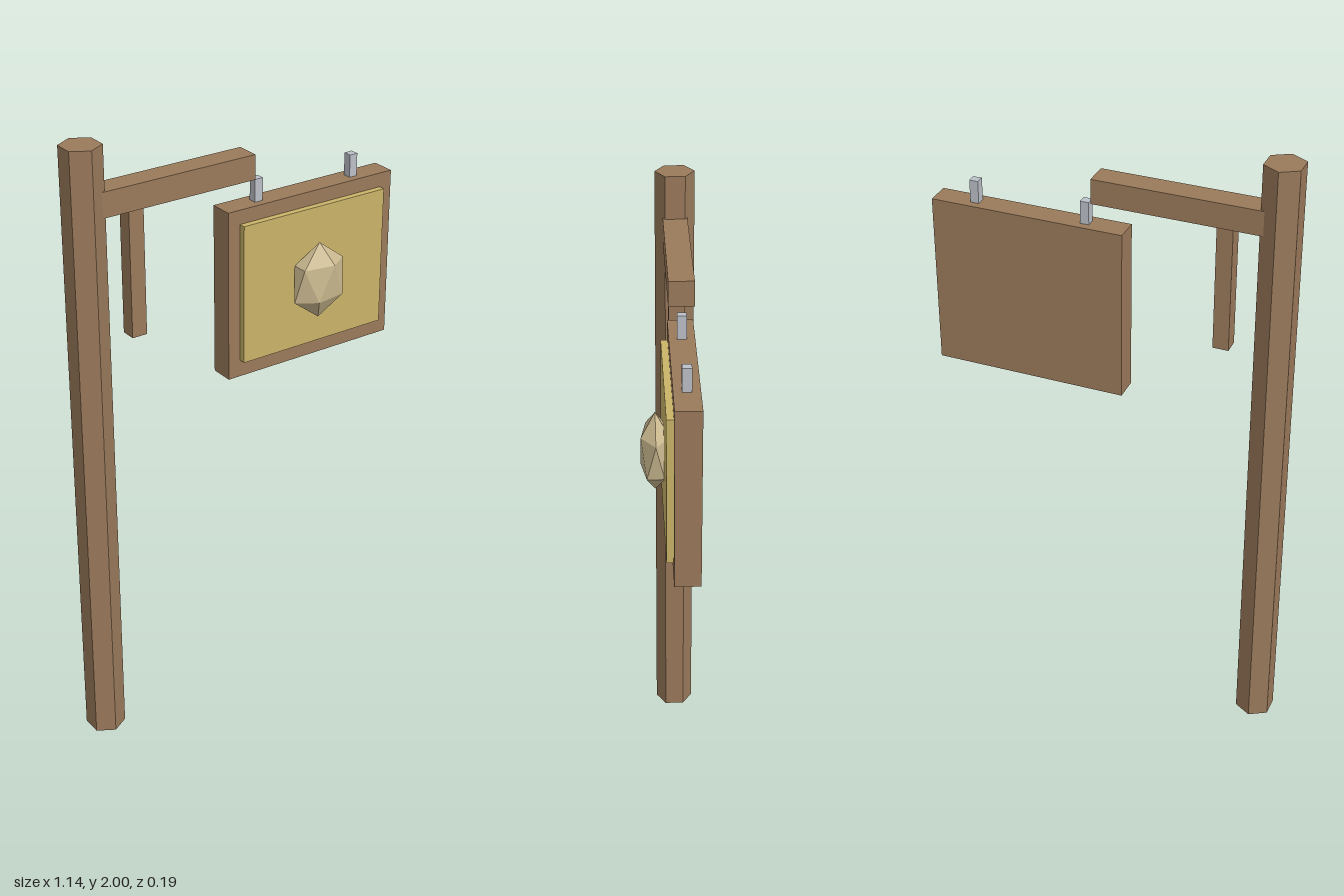
import * as THREE from 'three';

function material(name, color) {
  const m = new THREE.MeshStandardMaterial({ color, flatShading: true });
  m.name = name;
  return m;
}

export function createModel() {
  const wood = material('brown wood', 0x9a7a5b);
  const yellow = material('yellow panel', 0xcab469);
  const metal = material('grey metal', 0xbcc0c8);
  const stone = material('pale tan', 0xcbb990);

  const group = new THREE.Group();
  group.name = 'hangingSign';
  const zMid = -0.032; // centre plane of post, beam and board

  function add(name, geometry, mat, x, y, z) {
    const mesh = new THREE.Mesh(geometry, mat);
    mesh.name = name;
    mesh.position.set(x, y, z);
    group.add(mesh);
    return mesh;
  }

  // Box given by its limits in x and y, its depth and its centre in z
  function box(name, mat, x0, x1, y0, y1, depth, z = zMid) {
    return add(name, new THREE.BoxGeometry(x1 - x0, y1 - y0, depth), mat,
      (x0 + x1) / 2, (y0 + y1) / 2, z);
  }

  // Six-sided post with edges pointing front and back
  add('post', new THREE.CylinderGeometry(0.063, 0.063, 2, 6), wood, -0.518, 1, zMid);

  // Arm and the short brace below it
  box('arm', wood, -0.478, 0.05, 1.782, 1.861, 0.078);
  box('brace', wood, -0.383, -0.333, 1.375, 1.782, 0.05);

  // Sign board with its raised front panel
  box('signBoard', wood, -0.048, 0.571, 1.142, 1.698, 0.078);
  box('signPanel', yellow, -0.005, 0.528, 1.197, 1.652, 0.022, 0.017);

  // Hangers on top of the board
  for (const x of [0.081, 0.44]) {
    box('hanger', metal, x - 0.014, x + 0.014, 1.69, 1.771, 0.028);
  }

  // Faceted emblem: an icosahedron standing on a corner, flattened in z
  const emblem = new THREE.IcosahedronGeometry(1, 0);
  emblem.rotateX(-Math.atan((1 + Math.sqrt(5)) / 2));
  emblem.rotateY(Math.PI / 2);
  emblem.scale(0.103, 0.126, 0.05);
  emblem.computeVertexNormals();
  add('emblem', emblem, stone, 0.261, 1.419, 0.052);

  return group;
}
